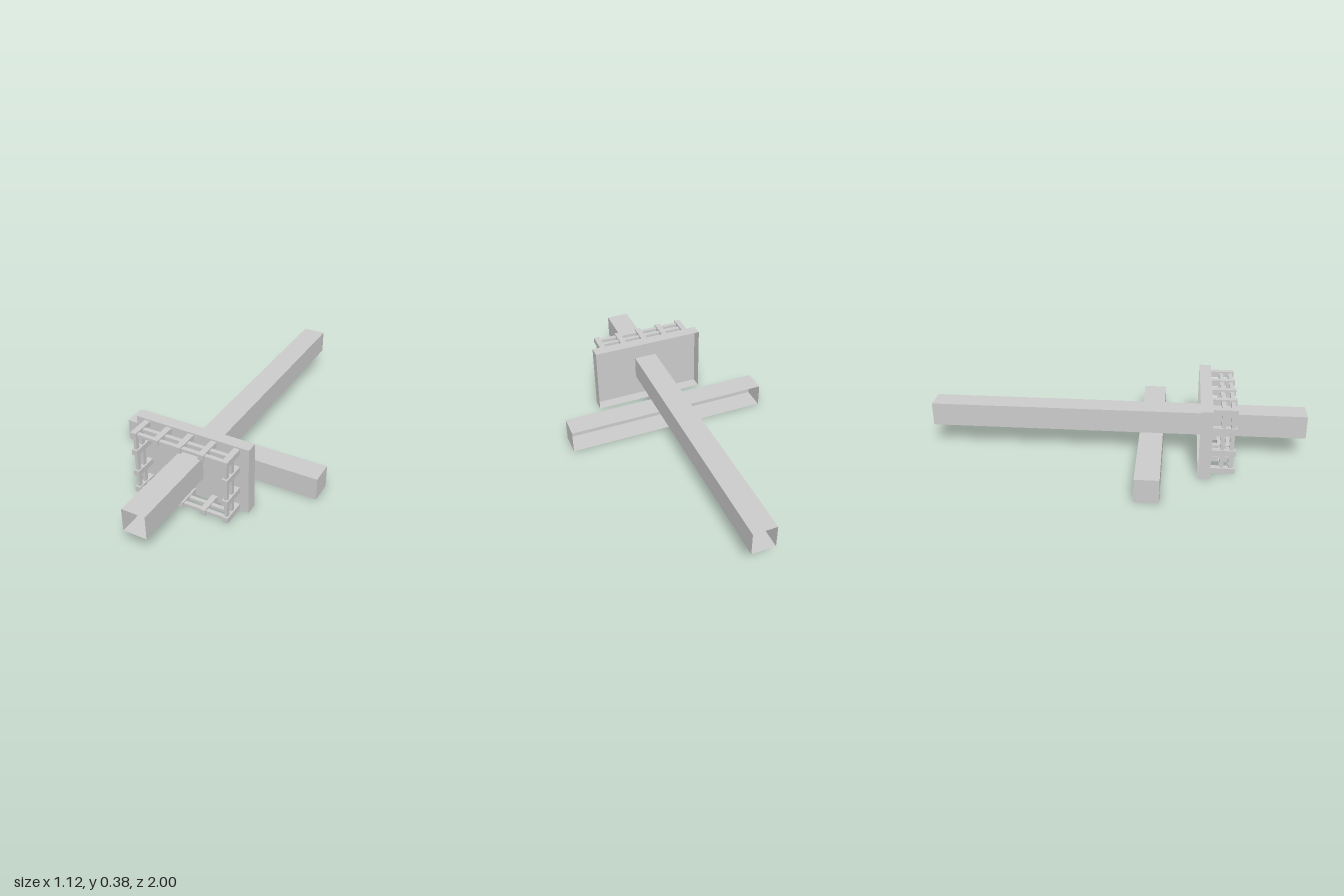
import * as THREE from 'three';

const mat = new THREE.MeshStandardMaterial({ color: 0xcccccc, side: THREE.DoubleSide, flatShading: true });

function add(parent, name, geometry, x = 0, y = 0, z = 0) {
  const mesh = new THREE.Mesh(geometry, mat);
  mesh.name = name;
  mesh.position.set(x, y, z);
  parent.add(mesh);
  return mesh;
}

// Thin-walled box keeping only the first n faces (order +x -x +y -y +z -z)
function openBox(w, h, d, n) {
  const g = new THREE.BoxGeometry(w, h, d);
  g.setIndex(Array.from(g.index.array).slice(0, n * 6));
  g.clearGroups();
  return g;
}

export function createModel() {
  const model = new THREE.Group();
  model.name = 'model';
  const S = 0.125; // beam section

  // Long hollow beam, open at both ends
  const tube = new THREE.CylinderGeometry(S / Math.SQRT2, S / Math.SQRT2, 2, 4, 1, true);
  tube.rotateY(Math.PI / 4).rotateX(Math.PI / 2);
  add(model, 'longBeam', tube, 0, 0.1875, 0);

  // Cross beam, open along its back
  add(model, 'crossBeam', openBox(1.125, S, S, 5), 0, S / 2, 0.1875);

  // Plate: shallow tray open at the back, its face pierced by the long beam
  const plate = new THREE.Group();
  plate.name = 'plate';
  model.add(plate);
  add(plate, 'plateRim', openBox(0.625, 0.375, 0.0625, 4), 0, 0.1875, 0.46875);
  const rect = (P, w, h) => new P([[-w, -h], [w, -h], [w, h], [-w, h]]
    .map(([x, y]) => new THREE.Vector2(x / 2, y / 2)));
  const face = rect(THREE.Shape, 0.625, 0.375);
  face.holes.push(rect(THREE.Path, S, S));
  add(plate, 'plateFace', new THREE.ShapeGeometry(face), 0, 0.1875, 0.5);

  // Railing round the front of the plate
  const railing = new THREE.Group();
  railing.name = 'railing';
  model.add(railing);
  const low = 0.0235, high = 0.3515, side = 0.25;

  // Posts standing out from the plate
  const post = new THREE.BoxGeometry(0.031, 0.031, S);
  for (const y of [low, high])
    for (let i = -2; i <= 2; i++) add(railing, 'post', post, i * 0.125, y, 0.5625);
  for (const x of [-side, side])
    for (const y of [0.125, 0.25]) add(railing, 'post', post, x, y, 0.5625);

  // Two rings of rails joining the posts
  const across = new THREE.BoxGeometry(2 * side, 0.0156, 0.022);
  const upright = new THREE.BoxGeometry(0.0156, high - low, 0.022);
  for (const z of [0.556, 0.604]) {
    for (const y of [low, high]) add(railing, 'crossRail', across, 0, y, z);
    for (const x of [-side, side]) add(railing, 'uprightRail', upright, x, (low + high) / 2, z);
  }
  return model;
}
